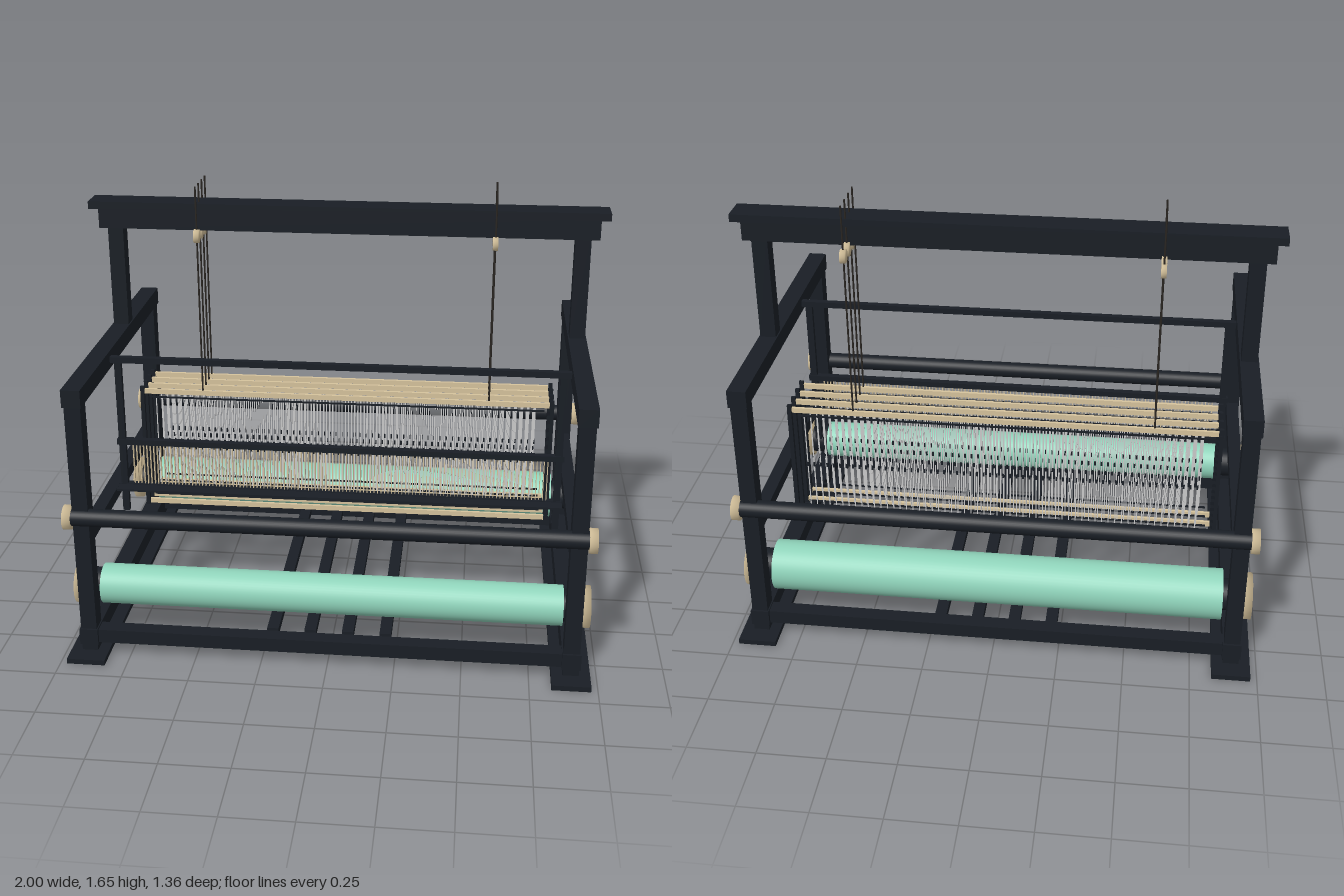
import * as THREE from 'three';
import { mergeGeometries, mergeVertices } from 'three/addons/utils/BufferGeometryUtils.js';

const mat = (color) => new THREE.MeshStandardMaterial({ color });

export function createModel() {
  const loom = new THREE.Group();
  loom.name = 'loom';
  const black = mat(0x191e25), tan = mat(0xd6c39d), teal = mat(0x8fd3ba), grey = mat(0xcccccc);
  const cordMat = mat(0x2a2622);

  function add(name, geometry, material, x = 0, y = 0, z = 0, parent = loom) {
    const mesh = new THREE.Mesh(geometry, material);
    mesh.name = name;
    mesh.position.set(x, y, z);
    parent.add(mesh);
    return mesh;
  }
  // Box given by its extents on each axis
  function span(name, material, [x0, x1], [y0, y1], [z0, z1], parent = loom) {
    return add(name, new THREE.BoxGeometry(x1 - x0, y1 - y0, z1 - z0), material,
      (x0 + x1) / 2, (y0 + y1) / 2, (z0 + z1) / 2, parent);
  }
  // Cylinder lying along x
  const rod = (r, length, sides = 32) =>
    new THREE.CylinderGeometry(r, r, length, sides).rotateZ(Math.PI / 2);
  // Disc along x with softly blended normals
  function softDisc(r, length) {
    const g = rod(r, length, 32);
    g.deleteAttribute('normal');
    g.deleteAttribute('uv');
    const merged = mergeVertices(g);
    merged.computeVertexNormals();
    return merged;
  }
  // Many equal thin boxes joined into one mesh
  function rowOfBoxes(size, count, halfWidth, shift = 0) {
    const parts = [];
    for (let i = 0; i < count; i++) {
      const x = -halfWidth + (2 * halfWidth * i) / (count - 1) + shift;
      parts.push(new THREE.BoxGeometry(...size).translate(x, 0, 0));
    }
    return mergeGeometries(parts);
  }

  // Side frames
  for (const s of [-1, 1]) {
    const side = new THREE.Group();
    side.name = s > 0 ? 'leftSideFrame' : 'rightSideFrame';
    side.position.x = s * 0.903;
    loom.add(side);
    span('foot', black, [-0.072, 0.072], [0, 0.02], [-0.68, 0.68], side);
    span('bottomRail', black, [-0.035, 0.035], [0.048, 0.112], [-0.617, 0.617], side);
    span('middleRail', black, [-0.025, 0.025], [0.455, 0.5], [-0.56, 0.56], side);
    span('topRail', black, [-0.035, 0.035], [1.013, 1.08], [-0.617, 0.617], side);
    for (const z of [-0.575, 0.575])
      span('cornerPost', black, [-0.03, 0.03], [0.015, 1.03], [z - 0.033, z + 0.033], side);
    span('upperPost', black, [-0.03, 0.03], [1.07, 1.5], [-0.184, -0.122], side);
  }

  // Overhead beam and cap
  span('overheadBeam', black, [-0.965, 0.965], [1.475, 1.555], [-0.192, -0.114]);
  span('overheadCap', black, [-1, 1], [1.553, 1.582], [-0.21, -0.1]);

  // Front and back beams, lower cross rails
  for (const s of [-1, 1]) {
    const end = s > 0 ? 'front' : 'back';
    span(end + 'LowerRail', black, [-0.88, 0.88], [0.053, 0.107], [s * 0.575 - 0.03, s * 0.575 + 0.03]);
    add(end + 'Beam', rod(0.033, 1.88), black, 0, 0.575, s * 0.597);
    for (const x of [-0.951, 0.951])
      add(end + 'BeamKnob', softDisc(0.046, 0.03), tan, x, 0.573, s * 0.595);
  }

  // Cloth and warp rollers with their end knobs
  for (const [name, z, r, half, knobR] of [
    ['clothRoller', 0.478, 0.076, 0.867, 0.079],
    ['warpRoller', -0.474, 0.096, 0.857, 0.088],
  ]) {
    add(name + 'Wrap', rod(r, 2 * half, 48), teal, 0, 0.24, z);
    add(name + 'Core', rod(0.06, 1.88), black, 0, 0.24, z);
    for (const x of [-0.952, 0.952])
      add(name + 'Knob', softDisc(knobR, 0.03), tan, x, 0.24, z);
  }

  // Treadles
  for (const x of [-0.218, -0.075, 0.068, 0.211])
    span('treadle', black, [x - 0.022, x + 0.022], [0.06, 0.09], [-0.56, 0.5]);

  // Beater: swinging arms, bars, shelf and reed
  const beater = new THREE.Group();
  beater.name = 'beater';
  beater.position.z = 0.194;
  loom.add(beater);
  span('beaterTopBar', black, [-0.88, 0.88], [1.035, 1.058], [-0.012, 0.012], beater);
  for (const x of [-0.84, 0.84])
    span('beaterArm', black, [x - 0.013, x + 0.013], [0.415, 1.045], [-0.01, 0.01], beater);
  span('reedCap', black, [-0.86, 0.86], [0.698, 0.72], [-0.013, 0.013], beater);
  span('reedSill', black, [-0.86, 0.86], [0.507, 0.533], [-0.013, 0.013], beater);
  span('shuttleShelf', black, [-0.86, 0.86], [0.522, 0.53], [-0.015, 0.062], beater);
  add('reedDents', rowOfBoxes([0.003, 0.17, 0.012], 120, 0.8), tan, 0, 0.615, 0, beater);

  // Four shafts, each with frame, heddles, cords and pulleys
  for (let i = 0; i < 4; i++) {
    const shaft = new THREE.Group();
    shaft.name = 'shaft' + (i + 1);
    shaft.position.z = -0.074 - 0.064 * i;
    loom.add(shaft);
    for (const y of [0.815, 0.327])
      span('shaftBar', tan, [-0.81, 0.81], [y - 0.01, y + 0.01], [-0.006, 0.006], shaft);
    for (const y of [0.79, 0.36])
      span('heddleRod', black, [-0.79, 0.79], [y - 0.003, y + 0.003], [-0.003, 0.003], shaft);
    for (const x of [-0.82, 0.82]) {
      span('shaftSide', black, [x - 0.008, x + 0.008], [0.335, 0.808], [-0.008, 0.008], shaft);
      for (const y of [0.82, 0.325])
        span('shaftCorner', black, [x - 0.008, x + 0.008], [y - 0.015, y + 0.015], [-0.006, 0.006], shaft);
    }
    const shift = (i - 1.5) * 0.0064;
    add('heddles', rowOfBoxes([0.004, 0.43, 0.002], 60, 0.755, shift), grey, 0, 0.575, 0, shaft);
    add('heddleEyes', rowOfBoxes([0.007, 0.018, 0.005], 60, 0.755, shift), black, 0, 0.575, 0, shaft);
    for (const x of [-0.572, 0.572]) {
      add('cord', new THREE.CylinderGeometry(0.0035, 0.0035, 0.83, 8), cordMat, x, 1.24, 0, shaft);
      add('pulley', softDisc(0.026, 0.02), tan, x, 1.463, 0, shaft);
    }
  }
  return loom;
}
